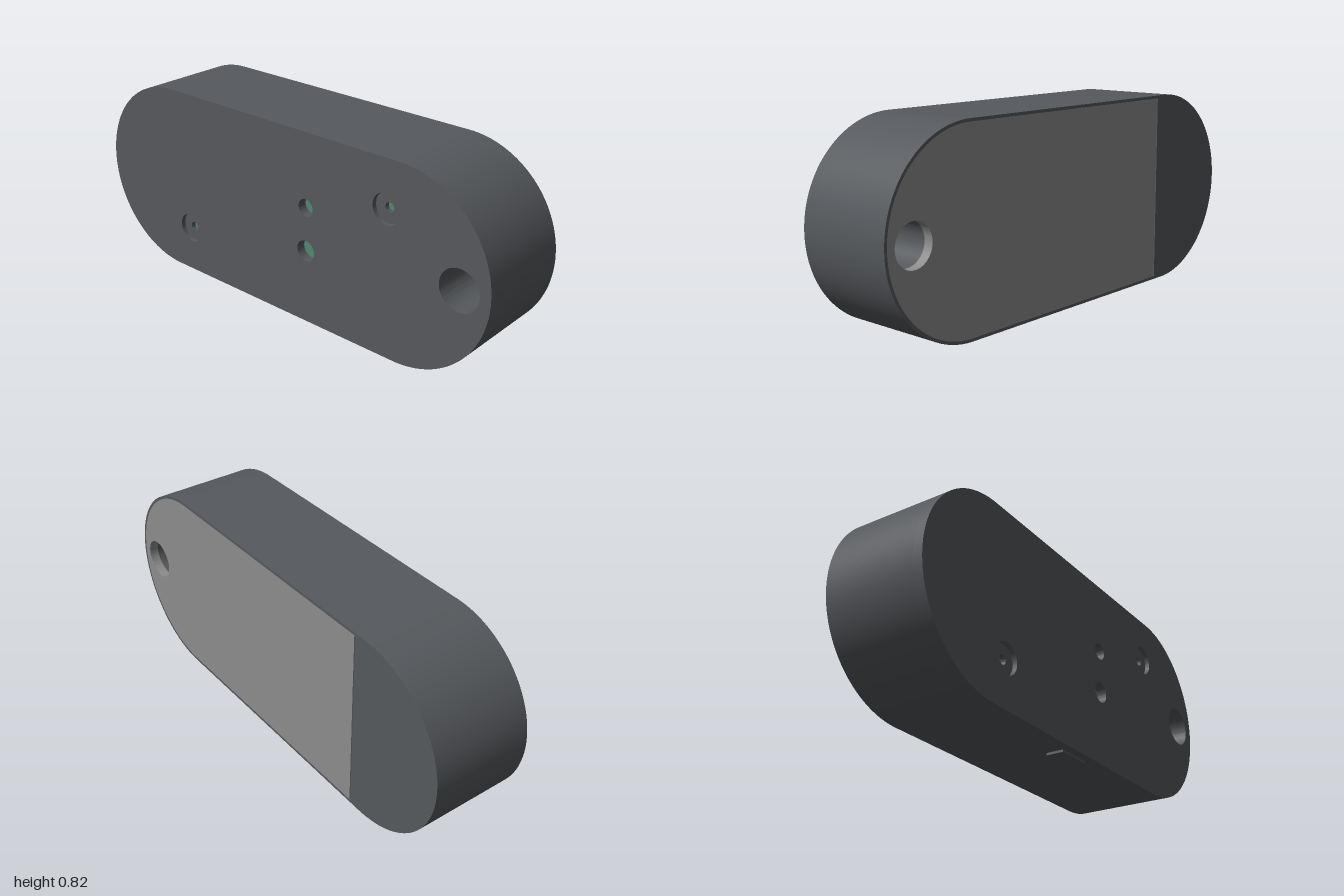
import * as THREE from 'three';
import { mergeGeometries, toCreasedNormals } from 'three/addons/utils/BufferGeometryUtils.js';

const R = 0.405, CX = 0.595, CY = 0.415;   // end radius, end centre, mid height
const FRONT = 0.213, BACK = -0.213, WALL = 0.04, RIM = 0.012, SPLIT = -0.54;

const RING = [0.87, CY, 0.085];            // hanging hole: x, y, radius
const WINDOWS = [[0.157, 0.51, 0.036], [0.157, 0.325, 0.044]];
const SCREWS = [[0.545, 0.625], [-0.51, 0.21]];

// Stadium outline pulled in by `inset`, optionally cut square at one side
function stadium(inset = 0, from = null, to = null) {
  const r = R - inset, s = new THREE.Shape();
  if (from === null) s.absarc(-CX, CY, r, Math.PI / 2, Math.PI * 1.5, false);
  else s.moveTo(from, CY + r).lineTo(from, CY - r);
  if (to === null) s.absarc(CX, CY, r, -Math.PI / 2, Math.PI / 2, false);
  else s.lineTo(to, CY - r).lineTo(to, CY + r);
  s.closePath();
  return s;
}

function circle(x, y, r) {
  const p = new THREE.Shape();
  p.absarc(x, y, r, 0, Math.PI * 2, false);
  return p;
}

// Extrude a shape between two z depths, smooth round the curves
function slab(shape, z0, z1, holes = []) {
  shape.holes.push(...holes);
  const g = new THREE.ExtrudeGeometry(shape, { depth: z1 - z0, bevelEnabled: false, curveSegments: 40 });
  g.translate(0, 0, z0);
  return toCreasedNormals(g, 0.5);
}

export function createModel() {
  const group = new THREE.Group();
  const shellMat = new THREE.MeshStandardMaterial({ color: 0x56595d });
  const lidMat = new THREE.MeshStandardMaterial({ color: 0x8c8c8c });
  const boardMat = new THREE.MeshStandardMaterial({ color: 0x4f8a70 });

  function add(name, geometry, material) {
    const mesh = new THREE.Mesh(geometry, material);
    mesh.name = name;
    group.add(mesh);
  }

  // Shell: front wall with counterbored screw holes, thin side wall, hanging-hole sleeve
  const through = () => [RING, ...WINDOWS].map(h => circle(...h));
  const bores = r => SCREWS.map(([x, y]) => circle(x, y, r));
  const inner = FRONT - WALL, step = FRONT - WALL / 2;
  add('shell', mergeGeometries([
    slab(stadium(), step, FRONT, [...through(), ...bores(0.063)]),
    slab(stadium(), inner, step, [...through(), ...bores(0.02)]),
    slab(stadium(), BACK, inner, [stadium(RIM)]),
    slab(circle(RING[0], RING[1], 0.1), BACK + WALL, inner, [circle(...RING)]),
  ]), shellMat);

  // Circuit board seen through the front openings
  const board = new THREE.BoxGeometry(1.34, 0.66, 0.025);
  board.translate(0.02, CY, inner - 0.0125);
  add('circuitBoard', board, boardMat);

  // Back: sliding lid and fixed end panel
  add('backLid', slab(stadium(RIM, SPLIT + 0.003), BACK, BACK + WALL, [circle(...RING)]), lidMat);
  add('backEndPanel', slab(stadium(RIM, null, SPLIT - 0.003), BACK, BACK + WALL), shellMat);

  // Connector on the underside
  const port = new THREE.BoxGeometry(0.16, 0.06, 0.076);
  port.translate(0, 0.03, 0.138);
  add('connector', port, shellMat);

  return group;
}
